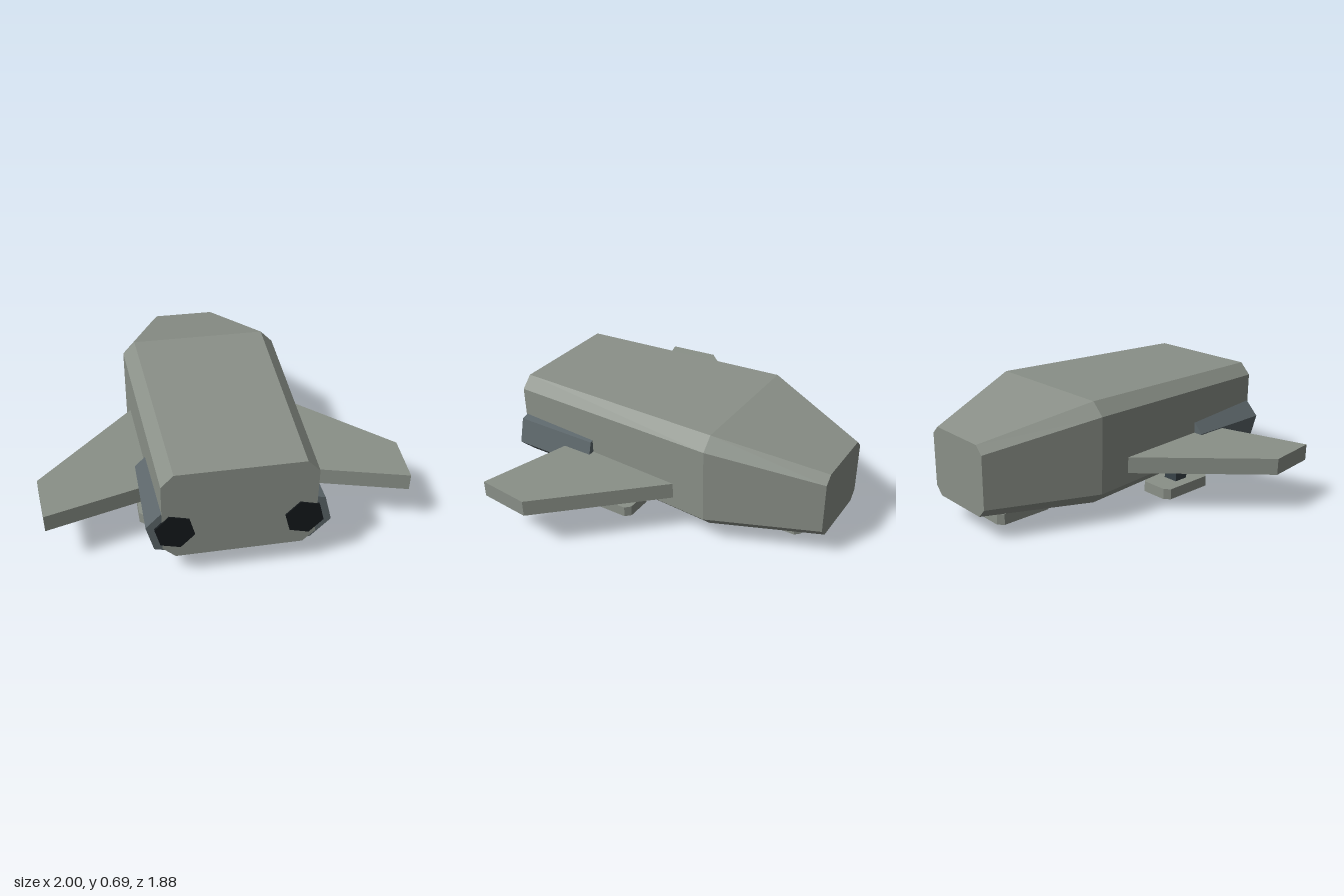
import * as THREE from 'three';

const paint = (color) => new THREE.MeshStandardMaterial({ color, flatShading: true });
const hullPaint = paint(0x8a9088);
const enginePaint = paint(0x5c666a);
const strutPaint = paint(0x384248);
const nozzlePaint = paint(0x14181b);

// Rectangle with cut corners, counter-clockwise
function octagon(halfW, low, high, cutX, cutLow, cutHigh) {
  return [
    [halfW - cutX, low], [halfW, low + cutLow], [halfW, high - cutHigh], [halfW - cutX, high],
    [cutX - halfW, high], [-halfW, high - cutHigh], [-halfW, low + cutLow], [cutX - halfW, low],
  ];
}

// Skin a row of octagons ordered from the back to the front
function loft(sections) {
  const positions = [], index = [], n = 8;
  for (const { z, ring } of sections) for (const [x, y] of ring) positions.push(x, y, z);
  for (let s = 0; s < sections.length - 1; s++) {
    for (let i = 0; i < n; i++) {
      const a = s * n + i, b = s * n + (i + 1) % n;
      index.push(a, b, b + n, a, b + n, a + n);
    }
  }
  const last = (sections.length - 1) * n;
  for (let i = 1; i < n - 1; i++) {
    index.push(0, i + 1, i, last, last + i, last + i + 1);
  }
  const geometry = new THREE.BufferGeometry();
  geometry.setAttribute('position', new THREE.Float32BufferAttribute(positions, 3));
  geometry.setIndex(index);
  const flat = geometry.toNonIndexed();
  flat.computeVertexNormals();
  return flat;
}

// Flat plate from an outline of [x, z] points, rising from y = 0
function plate(outline, height) {
  const shape = new THREE.Shape(outline.map(([x, z]) => new THREE.Vector2(x, -z)));
  return new THREE.ExtrudeGeometry(shape, { depth: height, bevelEnabled: false }).rotateX(-Math.PI / 2);
}

// Six-sided prism along z, turned 15 degrees
function hexPrism(radius, length) {
  return new THREE.CylinderGeometry(radius, radius, length, 6)
    .rotateX(Math.PI / 2).rotateZ(Math.PI / 12);
}

export function createModel() {
  const model = new THREE.Group();
  const add = (parent, name, geometry, material, x = 0, y = 0, z = 0) => {
    const mesh = new THREE.Mesh(geometry, material);
    mesh.name = name;
    mesh.position.set(x, y, z);
    parent.add(mesh);
  };

  // Hull
  add(model, 'hull', loft([
    { z: -0.94, ring: octagon(0.225, 0.14, 0.535, 0.045, 0.05, 0.045) },
    { z: -0.34, ring: octagon(0.455, 0.11, 0.685, 0.07, 0.07, 0.07) },
    { z: 0.933, ring: octagon(0.395, 0.14, 0.655, 0.065, 0.06, 0.065) },
  ]), hullPaint);

  for (const side of [1, -1]) {
    const label = side > 0 ? 'left' : 'right';

    // Swept wing
    const outline = [[0.4, -0.19], [1, 0.45], [0.97, 0.75], [0.4, 0.583]];
    add(model, label + 'Wing', plate(outline.map(([x, z]) => [side * x, z]), 0.093), hullPaint, 0, 0.245, 0);

    // Engine half sunk into the hull, with a dark nozzle
    const engine = new THREE.Group();
    engine.name = label + 'Engine';
    engine.position.set(side * 0.332, 0.305, 0);
    add(engine, 'engineCasing', hexPrism(0.149, 0.508), enginePaint, 0, 0, 0.674);
    add(engine, 'engineNozzle', hexPrism(0.105, 0.04), nozzlePaint, 0, 0, 0.92);
    model.add(engine);
  }

  // Landing gear: strut on a pad with cut corners
  const padOutline = octagon(0.107, -0.18, 0.18, 0.03, 0.03, 0.03);
  const gear = [['leftLandingGear', 0.365, 0.33], ['rightLandingGear', -0.365, 0.33], ['middleLandingGear', 0, -0.583]];
  for (const [name, x, z] of gear) {
    const leg = new THREE.Group();
    leg.name = name;
    leg.position.set(x, 0, z);
    add(leg, 'pad', plate(padOutline, 0.063), hullPaint);
    add(leg, 'strut', new THREE.BoxGeometry(0.09, 0.15, 0.09), strutPaint, 0, 0.13, 0);
    model.add(leg);
  }
  return model;
}
